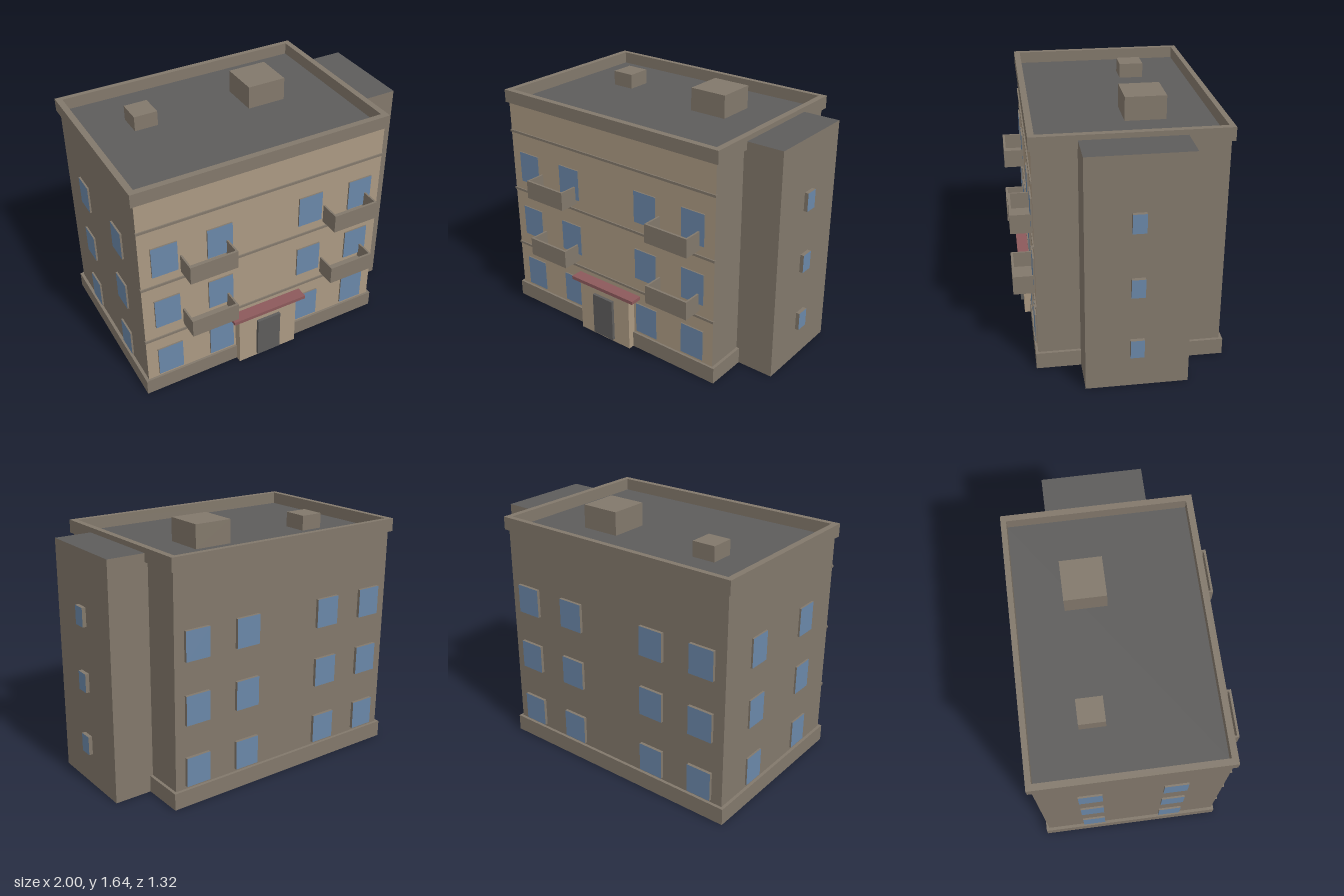
import * as THREE from 'three';

const mat = (name, color) => {
  const m = new THREE.MeshStandardMaterial({ color });
  m.name = name;
  return m;
};

export function createModel() {
  const model = new THREE.Group();
  model.name = 'apartmentBuilding';

  const stone = mat('stone', 0x82786b);
  const facade = mat('facade', 0xab9982);
  const glass = mat('glass', 0x6a87a8);
  const dark = mat('darkGrey', 0x5d5c5b);
  const red = mat('canopyRed', 0x8c595b);

  // Box given by its limits; faces overrides single sides (0 +x, 1 -x, 2 +y, 3 -y, 4 +z, 5 -z)
  function box(name, [x0, x1], [y0, y1], [z0, z1], material, faces, parent = model) {
    const geo = new THREE.BoxGeometry(x1 - x0, y1 - y0, z1 - z0);
    let mats = material;
    if (faces) {
      mats = Array(6).fill(material);
      for (const [i, m] of Object.entries(faces)) mats[i] = m;
    }
    const mesh = new THREE.Mesh(geo, mats);
    mesh.name = name;
    mesh.position.set((x0 + x1) / 2, (y0 + y1) / 2, (z0 + z1) / 2);
    parent.add(mesh);
    return mesh;
  }

  // Main block with a lighter front
  box('body', [-0.98, 0.71], [0, 1.49], [-0.64, 0.525], stone, { 4: facade, 2: dark });

  // Plinth, left open at the entrance
  box('plinth', [-1, 0.73], [0, 0.11], [-0.66, 0.5], stone);
  box('plinthFrontRight', [-1, -0.35], [0, 0.11], [0.5, 0.54], stone);
  box('plinthFrontLeft', [0.075, 0.73], [0, 0.11], [0.5, 0.54], stone);

  // Parapet ring around the roof
  const ring = new THREE.Shape();
  ring.moveTo(-1, -0.54).lineTo(0.73, -0.54).lineTo(0.73, 0.66).lineTo(-1, 0.66).closePath();
  const opening = new THREE.Path();
  opening.moveTo(-0.96, -0.5).lineTo(-0.96, 0.625).lineTo(0.69, 0.625).lineTo(0.69, -0.5).closePath();
  ring.holes.push(opening);
  const ringGeo = new THREE.ExtrudeGeometry(ring, { depth: 0.085, bevelEnabled: false });
  ringGeo.rotateX(-Math.PI / 2);
  const parapet = new THREE.Mesh(ringGeo, stone);
  parapet.name = 'parapet';
  parapet.position.y = 1.483;
  model.add(parapet);

  // Roof boxes
  box('roofVent', [-0.665, -0.51], [1.49, 1.588], [-0.33, -0.17], stone);
  box('roofHatch', [0.08, 0.34], [1.49, 1.642], [-0.33, -0.07], stone);

  // Stair tower
  box('stairTower', [0.7, 0.975], [0, 1.536], [-0.38, 0.257], stone, { 2: dark });

  // Window columns
  const columns = [[-0.905, -0.735], [-0.54, -0.37], [0.1, 0.27], [0.47, 0.64]];
  const sideColumns = [[-0.39, -0.24], [0.14, 0.29]];
  const windows = new THREE.Group();
  windows.name = 'windows';
  model.add(windows);

  for (let floor = 0; floor < 3; floor++) {
    const y = 0.13 + floor * 0.403;
    const rise = [y, y + 0.19];
    const frontRise = [y, y + 0.212];
    for (const x of columns) {
      box('frontWindow', x, frontRise, [0.52, 0.535], stone, { 4: glass }, windows);
      box('backWindow', x, rise, [-0.66, -0.635], stone, { 5: glass }, windows);
    }
    for (const z of sideColumns) {
      box('sideWindow', [-0.992, -0.975], rise, z, stone, { 1: glass }, windows);
    }
    const ty = 0.217 + floor * 0.423;
    box('towerWindow', [0.97, 1], [ty, ty + 0.122], [-0.1, -0.015], stone, { 0: glass }, windows);

    // Storey band
    const by = 0.43 + floor * 0.423;
    box('storeyBand', [-0.984, 0.714], [by, by + 0.016], [0.515, 0.533], stone);
  }

  // Balconies: slab, front rail and two side rails
  for (const y of [0.48, 0.905]) {
    for (const x of [-0.717, 0.288]) {
      const balcony = new THREE.Group();
      balcony.name = 'balcony';
      model.add(balcony);
      const w = 0.317, t = 0.012, top = y + 0.124;
      box('balconySlab', [x, x + w], [y, y + 0.02], [0.52, 0.66], stone, null, balcony);
      box('balconyFrontRail', [x, x + w], [y + 0.02, top], [0.645, 0.66], stone, null, balcony);
      for (const sx of [x, x + w - t]) {
        box('balconySideRail', [sx, sx + t], [y + 0.02, top], [0.52, 0.645], stone, null, balcony);
      }
    }
  }

  // Entrance
  box('entrance', [-0.35, 0.075], [0, 0.375], [0.5, 0.58], facade);
  box('door', [-0.222, -0.055], [0.022, 0.318], [0.575, 0.6], dark);
  box('canopy', [-0.4, 0.13], [0.375, 0.398], [0.515, 0.607], red);

  return model;
}
